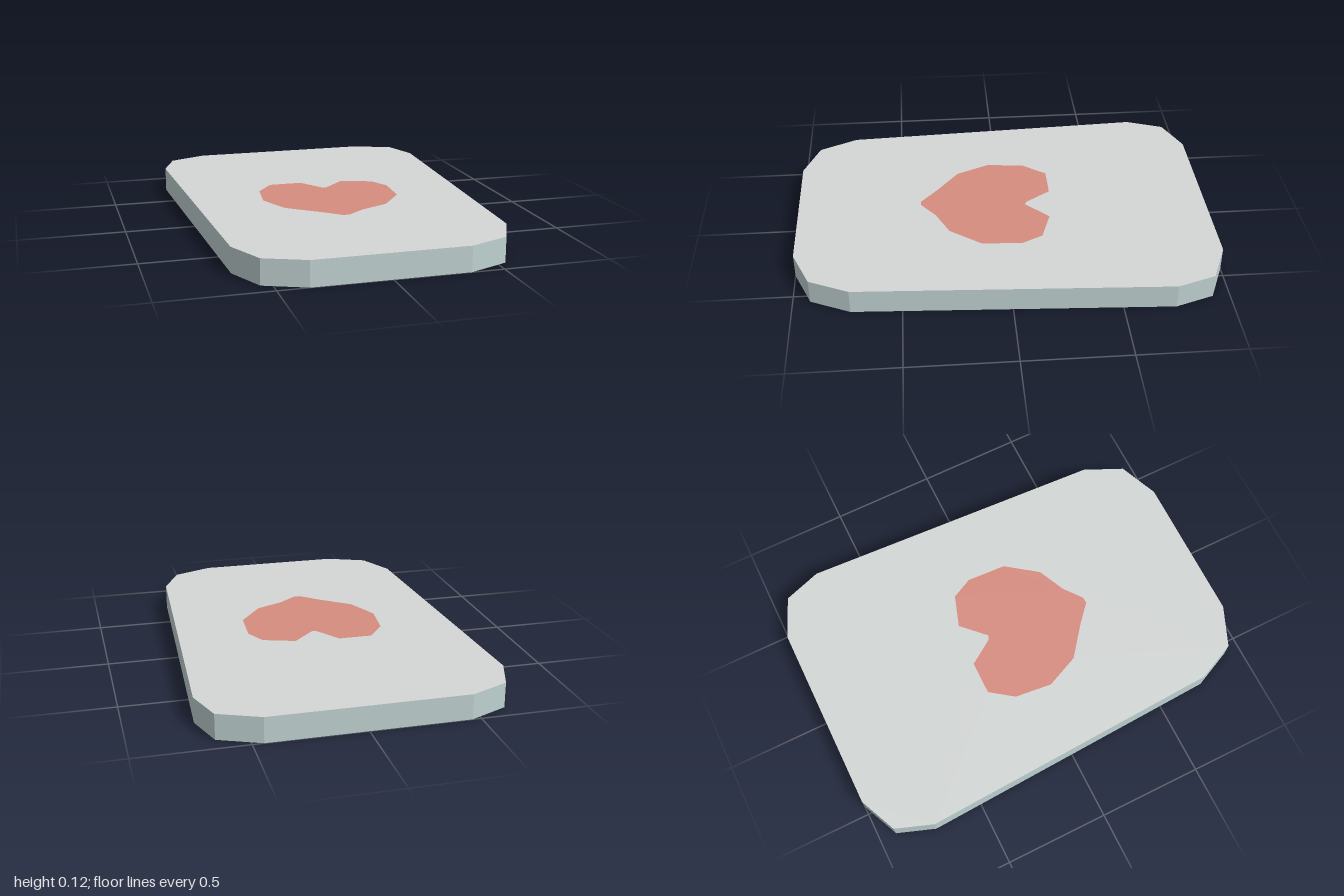
import * as THREE from 'three';

const HEIGHT = 0.118;

// Outlines as [x, z], clockwise seen from above
const SLAB = [
  [-0.46, -1], [0.45, -1], [0.64, -0.92], [0.70, -0.74], [0.625, 0.735], [0.54, 0.92],
  [0.35, 1], [-0.36, 1], [-0.55, 0.92], [-0.635, 0.735], [-0.705, -0.74], [-0.64, -0.92],
];
const HEART = [
  [-0.24, -0.24], [-0.08, -0.24], [0, -0.12], [0.02, -0.11], [0.13, -0.22], [0.28, -0.17],
  [0.33, -0.07], [0.32, 0.12], [0.21, 0.27], [0.08, 0.33], [-0.01, 0.4], [-0.04, 0.4],
  [-0.13, 0.32], [-0.27, 0.21], [-0.34, 0.05], [-0.32, -0.13],
];

// Flat horizontal face at the top (side = 1) or the bottom (side = -1)
function face(outline, hole, side) {
  const toPoints = (list) => list.map(([x, z]) => new THREE.Vector2(x, -z * side));
  const shape = new THREE.Shape(toPoints(outline));
  if (hole) shape.holes.push(new THREE.Path(toPoints(hole)));
  const geometry = new THREE.ShapeGeometry(shape);
  geometry.rotateX(-side * Math.PI / 2);
  geometry.translate(0, side > 0 ? HEIGHT : 0, 0);
  return geometry;
}

// Upright band around an outline
function wall(outline) {
  const positions = [];
  outline.forEach(([ax, az], i) => {
    const [bx, bz] = outline[(i + 1) % outline.length];
    positions.push(ax, 0, az, ax, HEIGHT, az, bx, HEIGHT, bz);
    positions.push(ax, 0, az, bx, HEIGHT, bz, bx, 0, bz);
  });
  const geometry = new THREE.BufferGeometry();
  geometry.setAttribute('position', new THREE.Float32BufferAttribute(positions, 3));
  geometry.computeVertexNormals();
  return geometry;
}

export function createModel() {
  const group = new THREE.Group();
  group.name = 'heartSlab';

  const material = (name, color) => {
    const m = new THREE.MeshStandardMaterial({ color });
    m.name = name;
    return m;
  };
  const paleGrey = material('paleGrey', 0xd3d7d5);
  const blueGrey = material('blueGrey', 0xbfd1d0);
  const coral = material('coral', 0xd78d80);

  const add = (name, geometry, mat) => {
    const mesh = new THREE.Mesh(geometry, mat);
    mesh.name = name;
    group.add(mesh);
  };

  // Rim, then the two faces with the heart inlaid in each
  add('rim', wall(SLAB), blueGrey);
  for (const [label, side] of [['top', 1], ['bottom', -1]]) {
    add(label + 'Face', face(SLAB, HEART, side), paleGrey);
    add(label + 'Heart', face(HEART, null, side), coral);
  }
  return group;
}
